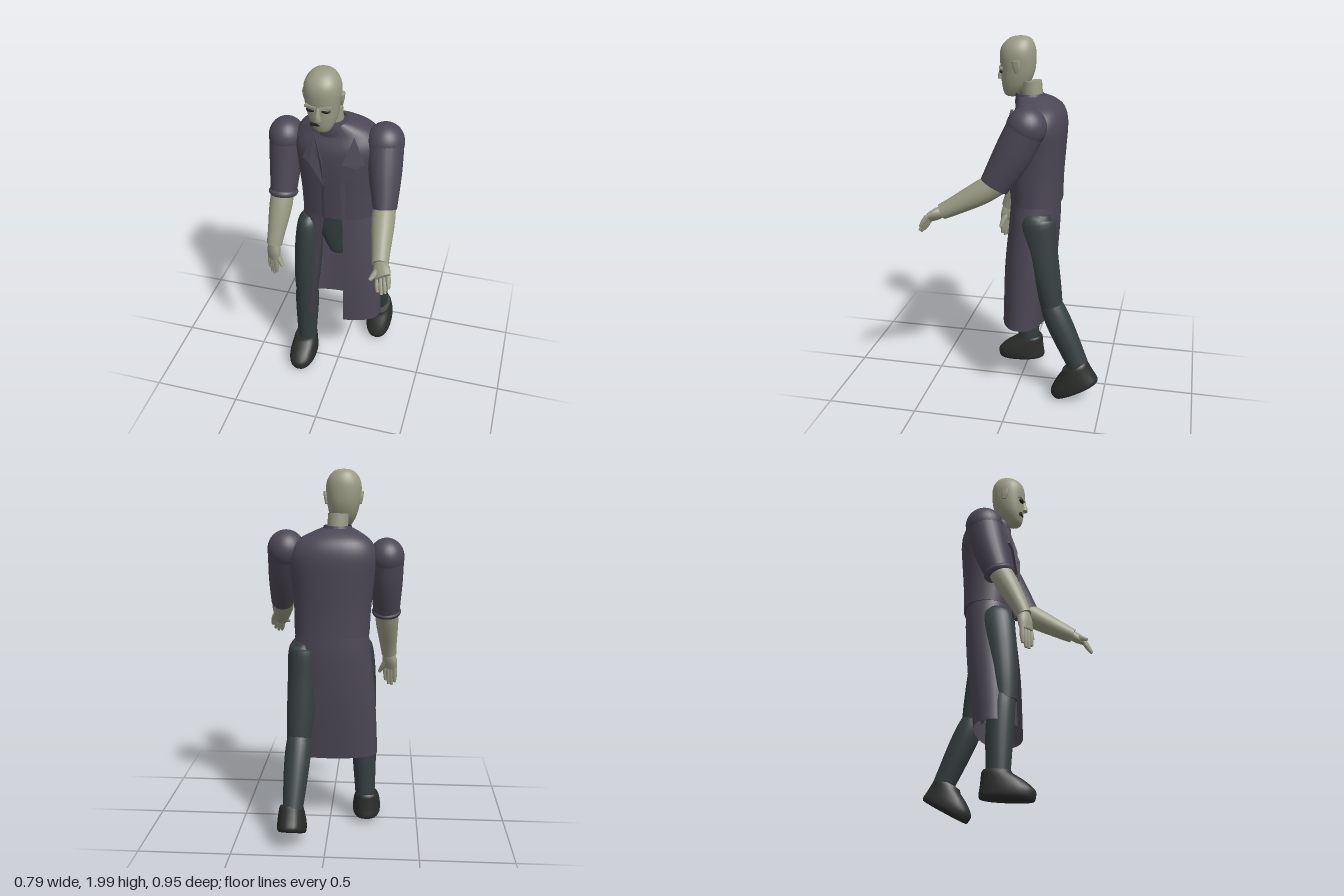
import * as THREE from 'three';

const mat = (color) => new THREE.MeshStandardMaterial({ color });
const SKIN = mat(0x9a9b84), COAT = mat(0x4c4755), TROUSERS = mat(0x353f40), SHOES = mat(0x2b2d2b), DARK = mat(0x242522);
const COAT_OPEN = mat(0x4c4755);
COAT_OPEN.side = THREE.DoubleSide;

// Skin a smooth surface over cross-sections [x, y, z, radiusU, radiusV]; skew widens an open start angle towards the first ring
function loft(pts, { level = false, power = 2, sides = 24, sub = 4, from = 0, to = Math.PI * 2, skew = 0, caps = true, across = [1, 0, 0] } = {}) {
  const path = new THREE.CatmullRomCurve3(pts.map((p) => new THREE.Vector3(p[0], p[1], p[2])), false, 'catmullrom', 0.5);
  const size = new THREE.CatmullRomCurve3(pts.map((p) => new THREE.Vector3(p[3], p[4] ?? p[3], 0)), false, 'catmullrom', 0.5);
  const steps = (pts.length - 1) * sub, rings = [];
  for (let i = 0; i <= steps; i++) {
    const c = path.getPoint(i / steps), r = size.getPoint(i / steps);
    const t = level ? new THREE.Vector3(0, 1, 0) : path.getTangent(i / steps);
    const u = new THREE.Vector3(...across).addScaledVector(t, -t.dot(new THREE.Vector3(...across))).normalize();
    rings.push({ c, u, v: u.clone().cross(t), ru: Math.max(r.x, 0), rv: Math.max(r.y, 0), start: from + skew * (1 - i / steps) });
  }
  if (caps) {
    const a = rings[0], b = rings[steps];
    rings.unshift({ ...a, ru: 0, rv: 0 }, a);
    rings.push(b, { ...b, ru: 0, rv: 0 });
  }
  const closed = to - from > 6.28, cols = closed ? sides : sides + 1;
  const pos = [], index = [];
  const bend = (w) => Math.sign(w) * Math.abs(w) ** (2 / power);
  rings.forEach(({ c, u, v, ru, rv, start }, i) => {
    for (let j = 0; j < cols; j++) {
      const a = start + (to - start) * j / sides;
      const p = c.clone().addScaledVector(u, bend(Math.cos(a)) * ru).addScaledVector(v, bend(Math.sin(a)) * rv);
      pos.push(p.x, p.y, p.z);
    }
    if (i === rings.length - 1) return;
    for (let j = 0; j < sides; j++) {
      const k = (j + 1) % cols, A = i * cols + j, B = A + cols, C = i * cols + k, D = C + cols;
      index.push(A, B, C, B, D, C);
    }
  });
  const g = new THREE.BufferGeometry();
  g.setAttribute('position', new THREE.Float32BufferAttribute(pos, 3));
  g.setIndex(index);
  g.computeVertexNormals();
  return g;
}

function add(parent, name, geometry, material, x = 0, y = 0, z = 0) {
  const m = new THREE.Mesh(geometry, material);
  m.name = name;
  m.position.set(x, y, z);
  parent.add(m);
  return m;
}

// Flat coat piece draped over the curve of the chest
function chestPiece(outline, curve) {
  const g = new THREE.ExtrudeGeometry(new THREE.Shape(outline.map((p) => new THREE.Vector2(...p))), { depth: 0.014, bevelEnabled: false });
  const p = g.attributes.position;
  for (let i = 0; i < p.count; i++) {
    const x = p.getX(i) + 0.015, y = p.getY(i);
    p.setZ(i, p.getZ(i) + 0.062 - curve * x * x - Math.max(0, y - 1.52) * 0.3 - Math.max(0, 1.4 - y) * 0.06);
  }
  g.computeVertexNormals();
  return g;
}

// Palm, four fingers and a thumb
function hand(name, wrist, knuckle, across, tip, thumbTip) {
  const g = new THREE.Group();
  g.name = name;
  const W = new THREE.Vector3(...wrist), K = new THREE.Vector3(...knuckle), T = new THREE.Vector3(...tip);
  const U = new THREE.Vector3(...across).normalize(), M = W.clone().lerp(K, 0.5);
  add(g, 'palm', loft([[...wrist, 0.034, 0.029], [M.x, M.y, M.z, 0.048, 0.029], [...knuckle, 0.045, 0.02]], { across, sides: 16 }), SKIN);
  for (let i = 0; i < 4; i++) {
    const s = (i - 1.5) * 0.022, a = K.clone().addScaledVector(U, s);
    const b = T.clone().addScaledVector(U, s).lerp(a, i === 0 || i === 3 ? 0.2 : 0);
    const m = a.clone().lerp(b, 0.55);
    add(g, 'finger', loft([[...a.toArray(), 0.013], [...m.toArray(), 0.013], [...b.toArray(), 0.008]], { sides: 10, sub: 2 }), SKIN);
  }
  const E = new THREE.Vector3(...thumbTip), S = W.clone().lerp(K, 0.3), H = S.clone().lerp(E, 0.5);
  add(g, 'thumb', loft([[...S.toArray(), 0.022], [...H.toArray(), 0.018], [...E.toArray(), 0.009]], { sides: 10, sub: 3, across: [0, 0, 1] }), SKIN);
  return g;
}

function shoe(name, x, y, z, pitch) {
  const g = loft([[0, 0, 0, 0.07, 0.136], [0, 0.015, 0, 0.078, 0.141], [0, 0.05, 0, 0.079, 0.138],
    [0, 0.09, -0.022, 0.074, 0.114], [0, 0.125, -0.052, 0.067, 0.083], [0, 0.14, -0.056, 0.06, 0.072]], { level: true, power: 2.3 });
  const m = new THREE.Mesh(g, SHOES);
  m.name = name;
  m.position.set(x, y, z);
  m.rotation.x = pitch;
  return m;
}

export function createModel() {
  const model = new THREE.Group();
  model.name = 'walkingMan';

  // Coat body
  add(model, 'coatBody', loft([[-0.015, 1.13, -0.087, 0.203, 0.138], [-0.018, 1.28, -0.085, 0.208, 0.143], [-0.02, 1.42, -0.085, 0.222, 0.152],
    [-0.02, 1.55, -0.09, 0.238, 0.153], [-0.025, 1.63, -0.095, 0.2, 0.128], [-0.035, 1.675, -0.075, 0.13, 0.1], [-0.04, 1.695, -0.05, 0.085, 0.075]],
  { level: true, power: 2.3, sides: 36 }), COAT);
  // Open skirt with a slit in front
  add(model, 'coatSkirt', loft([[-0.015, 1.14, -0.08, 0.198, 0.132], [-0.012, 1, -0.075, 0.217, 0.137], [-0.01, 0.75, -0.055, 0.244, 0.139],
    [-0.01, 0.432, -0.032, 0.259, 0.124]].reverse(), { level: true, power: 2.2, sides: 40, from: 1.8, skew: 0.18, to: 1.36 + Math.PI * 2, caps: false }), COAT_OPEN);
  add(model, 'collar', loft([[-0.04, 1.63, -0.045, 0.095, 0.085], [-0.04, 1.67, -0.04, 0.085, 0.081], [-0.042, 1.708, -0.036, 0.074, 0.074]],
    { level: true, caps: false }), COAT_OPEN);

  // Lapels and front edges
  for (const s of [-1, 1]) {
    const at = (list) => list.map(([x, y]) => [-0.015 + s * x, y]);
    add(model, 'lapel', chestPiece(at([[0.105, 1.64], [0.165, 1.5], [0.125, 1.48], [0.045, 1.36], [0.055, 1.5]]), 1.2), COAT_OPEN, 0, 0, 0.012);
    add(model, 'frontEdge', chestPiece(at([[0.042, 1.38], [0.05, 1.13], [0.17, 1.13], [0.17, 1.46]]), 2.3), COAT_OPEN);
  }

  // Neck and head
  add(model, 'neck', loft([[-0.04, 1.62, -0.06, 0.055], [-0.045, 1.77, -0.045, 0.055]]), SKIN);
  const head = new THREE.Group();
  head.name = 'head';
  model.add(head);
  add(head, 'skull', loft([[-0.062, 1.684, 0.064, 0.026, 0.026], [-0.063, 1.70, 0.063, 0.045, 0.044], [-0.066, 1.75, 0.045, 0.071, 0.074],
    [-0.069, 1.82, 0.033, 0.088, 0.091], [-0.07, 1.9, 0.033, 0.096, 0.097], [-0.07, 1.95, 0.03, 0.085, 0.087],
    [-0.07, 1.985, 0.022, 0.058, 0.06], [-0.07, 1.998, 0.019, 0.028, 0.03], [-0.07, 2.0, 0.018, 0, 0]], { level: true, power: 2.15, sides: 32 }), SKIN);
  for (const s of [-1, 1]) {
    const brow = add(head, 'brow', new THREE.BoxGeometry(0.06, 0.014, 0.02), SKIN, -0.072 + s * 0.038, 1.836, 0.117);
    brow.rotation.set(0, s * 0.3, s * 0.06);
    add(head, 'eye', new THREE.SphereGeometry(0.02, 14, 10).scale(1.3, 0.6, 0.7), DARK, -0.072 + s * 0.037, 1.819, 0.113);
    const ear = add(head, 'ear', loft([[0, -0.033, 0, 0.008, 0.013], [0, 0, 0, 0.011, 0.021], [0, 0.033, 0, 0.011, 0.02]], { level: true, power: 3 }),
      SKIN, -0.069 + s * 0.094, 1.85, 0.022);
    ear.rotation.set(0.15, 0, -s * 0.12);
  }
  add(head, 'nose', loft([[-0.072, 1.838, 0.117, 0.009, 0.01], [-0.072, 1.795, 0.126, 0.013, 0.018], [-0.072, 1.772, 0.127, 0.018, 0.018]].reverse(),
    { level: true, sides: 12 }), SKIN);
  add(head, 'mouth', new THREE.BoxGeometry(0.048, 0.016, 0.018), DARK, -0.09, 1.738, 0.108).rotation.z = 0.12;

  // Arms: right hanging, left reaching forward
  add(model, 'rightShoulder', new THREE.SphereGeometry(1, 28, 20).scale(0.095, 0.102, 0.104), COAT, -0.304, 1.545, -0.07);
  add(model, 'rightSleeve', loft([[-0.304, 1.545, -0.07, 0.093, 0.1],
    [-0.306, 1.4, -0.04, 0.086, 0.094], [-0.308, 1.23, 0.012, 0.071, 0.073]]), COAT);
  add(model, 'rightCuff', loft([[-0.308, 1.25, 0.008, 0.074, 0.076], [-0.308, 1.237, 0.012, 0.081, 0.083], [-0.308, 1.222, 0.016, 0.074, 0.076]]), COAT);
  add(model, 'rightForearm', loft([[-0.308, 1.25, 0.015, 0.062], [-0.313, 1.16, 0.06, 0.062, 0.06], [-0.322, 1.03, 0.123, 0.048, 0.045],
    [-0.328, 0.965, 0.15, 0.043, 0.039]]), SKIN);
  model.add(hand('rightHand', [-0.328, 0.975, 0.147], [-0.335, 0.875, 0.16], [0.8, 0, 0.6], [-0.336, 0.775, 0.165], [-0.272, 0.845, 0.187]));
  add(model, 'leftShoulder', new THREE.SphereGeometry(1, 28, 20).scale(0.101, 0.106, 0.105), COAT, 0.231, 1.582, -0.074);
  add(model, 'leftSleeve', loft([[0.231, 1.582, -0.074, 0.099, 0.102],
    [0.252, 1.43, 0, 0.086, 0.099], [0.275, 1.275, 0.088, 0.063, 0.078]]), COAT);
  add(model, 'leftForearm', loft([[0.27, 1.29, 0.07, 0.06, 0.064], [0.283, 1.235, 0.16, 0.061, 0.064], [0.305, 1.165, 0.29, 0.049, 0.05],
    [0.317, 1.13, 0.36, 0.043, 0.042]]), SKIN);
  model.add(hand('leftHand', [0.316, 1.135, 0.352], [0.345, 1.1, 0.425], [0.8, 0.5, 0], [0.36, 1.03, 0.468], [0.283, 1.085, 0.445]));

  // Hips and legs: right forward, left pushing off behind
  add(model, 'hips', loft([[-0.005, 0.87, -0.055, 0.045, 0.07], [-0.005, 0.89, -0.055, 0.06, 0.085], [-0.005, 1, -0.07, 0.12, 0.107],
    [-0.01, 1.12, -0.08, 0.175, 0.118]], { level: true, power: 2.6 }), TROUSERS);
  add(model, 'rightThigh', loft([[-0.172, 1.09, -0.03, 0.04, 0.055], [-0.174, 1.04, -0.025, 0.064, 0.09], [-0.175, 0.9, -0.006, 0.078, 0.094],
    [-0.182, 0.7, 0.014, 0.075, 0.082], [-0.188, 0.55, 0.02, 0.062, 0.07]]), TROUSERS);
  add(model, 'rightShin', loft([[-0.188, 0.6, 0.015, 0.06, 0.067], [-0.19, 0.5, 0.008, 0.069, 0.073], [-0.196, 0.35, 0, 0.065, 0.071],
    [-0.202, 0.14, -0.004, 0.054, 0.06]]), TROUSERS);
  model.add(shoe('rightShoe', -0.21, 0.034, 0.04, 0.07));
  add(model, 'leftThigh', loft([[0.134, 1.09, -0.118, 0.05, 0.068], [0.139, 1.045, -0.115, 0.08, 0.1], [0.142, 0.9, -0.134, 0.082, 0.094],
    [0.151, 0.7, -0.178, 0.075, 0.074], [0.158, 0.56, -0.206, 0.062, 0.06]]), TROUSERS);
  add(model, 'leftShin', loft([[0.157, 0.6, -0.193, 0.058, 0.056], [0.16, 0.52, -0.224, 0.07, 0.07], [0.168, 0.4, -0.28, 0.068, 0.07],
    [0.18, 0.2, -0.373, 0.053, 0.058]]), TROUSERS);
  model.add(shoe('leftShoe', 0.187, 0.077, -0.356, 0.5));

  return model;
}
